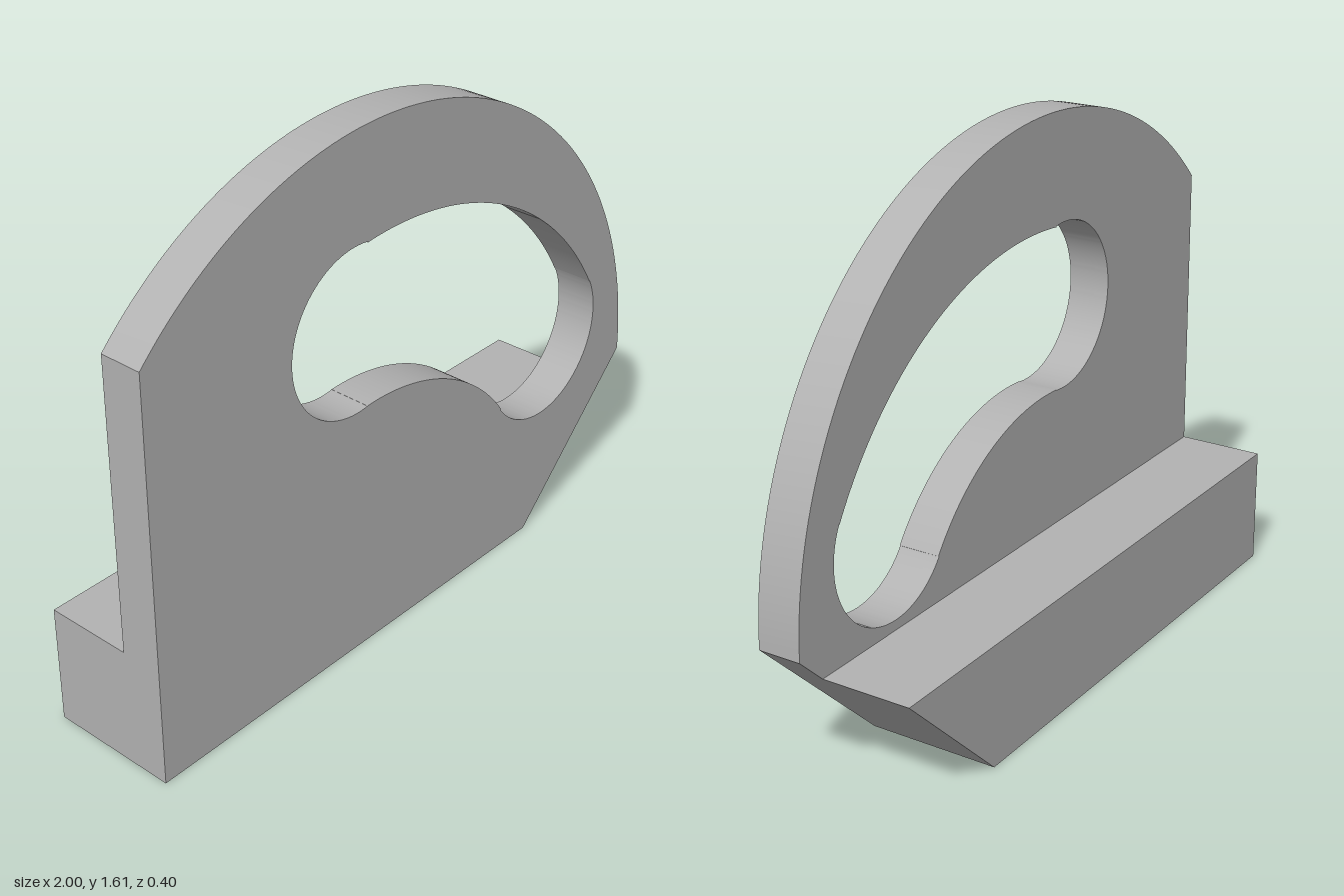
import * as THREE from 'three';
import { toCreasedNormals } from 'three/addons/utils/BufferGeometryUtils.js';

const grey = new THREE.MeshStandardMaterial({ color: 0xb2b2b2 });
grey.name = 'grey';

// Extrudes a front-view shape between two z planes
function slab(name, shape, zBack, zFront) {
  const geometry = new THREE.ExtrudeGeometry(shape, {
    depth: zFront - zBack, bevelEnabled: false, curveSegments: 48,
  });
  geometry.translate(0, 0, zBack);
  const mesh = new THREE.Mesh(toCreasedNormals(geometry, 0.3), grey);
  mesh.name = name;
  return mesh;
}

// Adds an arc about (cx, cy) from the direction of one point to another
function arcBetween(path, cx, cy, r, [x0, y0], [x1, y1], clockwise) {
  path.absarc(cx, cy, r, Math.atan2(y0 - cy, x0 - cx), Math.atan2(y1 - cy, x1 - cx), clockwise);
}

export function createModel() {
  const group = new THREE.Group();
  group.name = 'handlePlate';

  // Upright plate: straight base and side, chamfered corner, round top
  const outline = new THREE.Shape();
  outline.moveTo(-1, 0);
  outline.lineTo(0.54, 0);
  outline.lineTo(1, 0.45);
  arcBetween(outline, -0.16, 0.45, 1.16, [1, 0.45], [-1, 1.25], false);
  outline.lineTo(-1, 0);

  // Curved grip opening with round ends
  const topLeft = [-0.2, 1.281], bottomLeft = [-0.2, 0.789];
  const bottomRight = [0.4, 0.5], topRight = [0.82, 0.76];
  const grip = new THREE.Path();
  grip.moveTo(...topLeft);
  arcBetween(grip, -0.24, 1.035, 0.25, topLeft, bottomLeft, false);
  arcBetween(grip, -0.16, 0.104, 0.686, bottomLeft, bottomRight, true);
  arcBetween(grip, 0.6, 0.645, 0.25, bottomRight, topRight, false);
  arcBetween(grip, -0.09, 0.234, 1.051, topRight, topLeft, false);
  outline.holes.push(grip);
  group.add(slab('gripPlate', outline, 0.07, 0.2));

  // Base ledge behind the plate, sharing its sloped end
  const ledge = new THREE.Shape([
    [-1, 0], [0.54, 0], [0.913, 0.365], [-1, 0.365],
  ].map(([x, y]) => new THREE.Vector2(x, y)));
  group.add(slab('baseLedge', ledge, -0.2, 0.07));

  return group;
}
